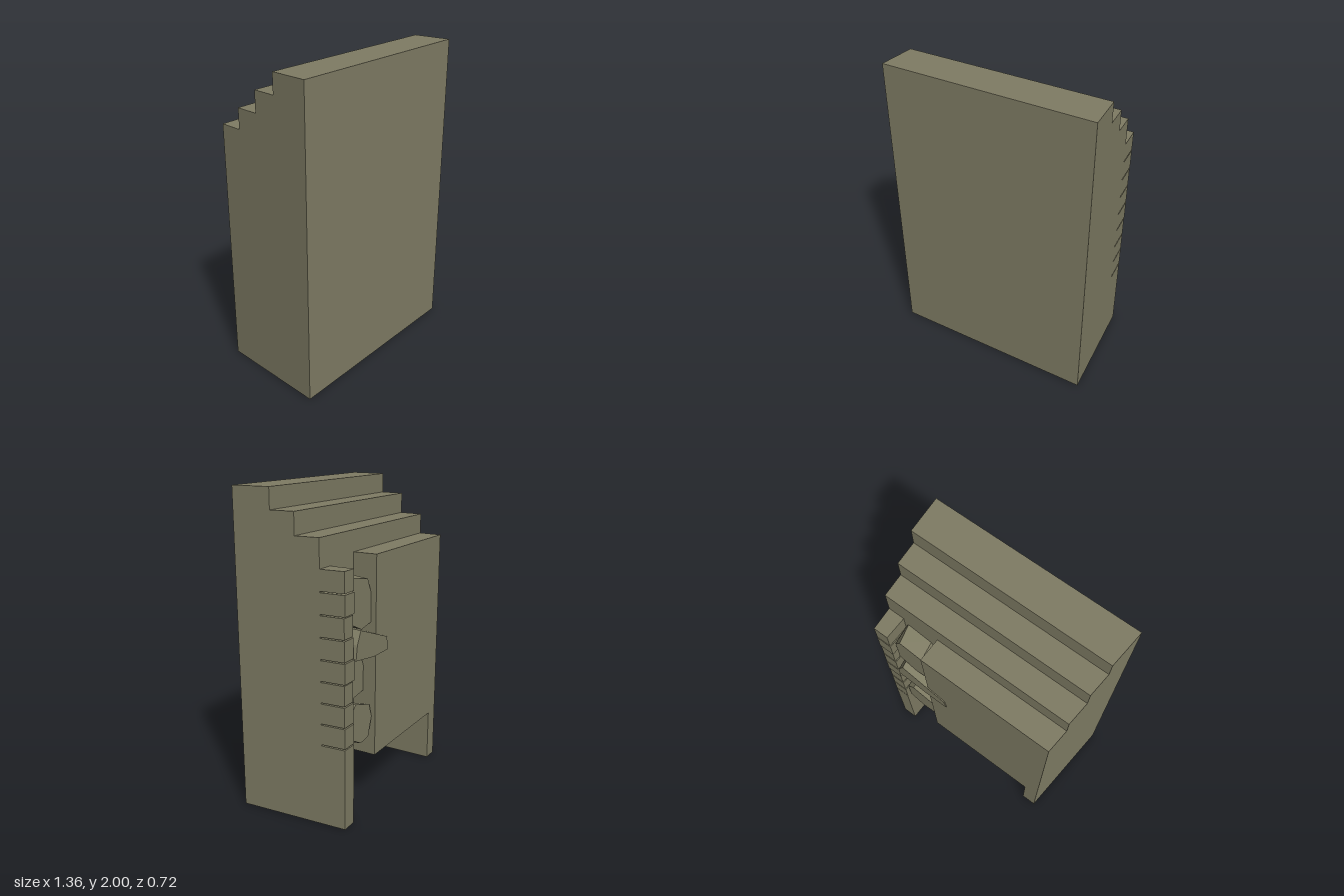
import * as THREE from 'three';
import { ConvexGeometry } from 'three/addons/geometries/ConvexGeometry.js';

const FRONT = 0.355, BACK = -0.355;
// Half width of the tapered plan at depth z
const halfWidth = z => 0.6525 + 0.0775 * z;

export function createModel() {
  const group = new THREE.Group();
  const stone = new THREE.MeshStandardMaterial({ color: 0x7f7c64 });
  stone.name = 'olive grey stone';

  function add(name, geometry) {
    const mesh = new THREE.Mesh(geometry, stone);
    mesh.name = name;
    group.add(mesh);
    return mesh;
  }

  // Box between limits; 'L' and 'R' follow the tapered left and right sides
  function block(name, x0, x1, y0, y1, z0, z1) {
    const g = new THREE.BoxGeometry(1, 1, 1).toNonIndexed();
    const p = g.attributes.position;
    for (let i = 0; i < p.count; i++) {
      const z = p.getZ(i) > 0 ? z1 : z0;
      const side = p.getX(i) > 0 ? x1 : x0;
      const x = side === 'L' ? halfWidth(z) : side === 'R' ? -halfWidth(z) : side;
      p.setXYZ(i, x, p.getY(i) > 0 ? y1 : y0, z);
    }
    g.computeVertexNormals();
    return add(name, g);
  }

  // Stepped body: side profile (z, y) extruded across and tapered
  const profile = [
    [FRONT, 0], [FRONT, 2], [0.11, 2], [0.11, 1.873], [-0.045, 1.873],
    [-0.045, 1.74], [-0.2, 1.74], [-0.2, 0.345], [0.265, 0.345], [0.265, 0],
  ];
  const shape = new THREE.Shape(profile.map(([z, y]) => new THREE.Vector2(z, y)));
  const body = new THREE.ExtrudeGeometry(shape, { depth: 2, bevelEnabled: false });
  body.translate(0, 0, -1).rotateY(-Math.PI / 2);
  const p = body.attributes.position;
  for (let i = 0; i < p.count; i++) p.setX(i, p.getX(i) * halfWidth(p.getZ(i)));
  body.computeVertexNormals();
  add('steppedBody', body);

  // Back panel, side legs around the low opening, and the pillar base
  block('backPanel', 'R', 0.27, 0.345, 1.61, BACK, -0.2);
  block('rightLeg', 'R', -0.525, 0, 0.345, BACK, 0.265);
  block('leftLeg', 0.525, 'L', 0, 0.345, BACK, 0.265);
  block('pillarBase', 0.525, 'L', 0.345, 0.515, BACK, -0.2);

  // Stacked corner stones with narrow joints
  for (let i = 0; i < 8; i++) {
    const y = 0.523 + i * 0.1315;
    const inset = 0.004 * (i % 3);
    block('cornerStone', 0.522 + inset, 'L', y, y + 0.124, BACK + inset / 2, -0.195);
  }

  // Rubble in the broken gap: back outline and a larger seat against the wall
  const rubble = [
    { outline: [[0.51, 1.24], [0.51, 1.44], [0.47, 1.5], [0.31, 1.47], [0.27, 1.38], [0.27, 1.2], [0.38, 1.18]], z: -0.32 },
    { outline: [[0.515, 1.03], [0.5, 1.12], [0.46, 1.2], [0.14, 1.085], [0.13, 1.0], [0.3, 1.0]], z: -0.362 },
    { outline: [[0.5, 0.8], [0.5, 0.97], [0.3, 0.99], [0.26, 0.9], [0.27, 0.76], [0.42, 0.74]], z: -0.27 },
    { outline: [[0.51, 0.53], [0.51, 0.7], [0.46, 0.74], [0.3, 0.69], [0.27, 0.6], [0.31, 0.48], [0.4, 0.47]], z: -0.33 },
  ];
  for (const { outline, z } of rubble) {
    const points = [];
    for (const [x, y] of outline) {
      points.push(new THREE.Vector3(x, y, z));
      points.push(new THREE.Vector3(Math.min(0.525, x * 1.06), y + (y > 0.9 ? 0.02 : -0.01), -0.19));
    }
    add('rubbleStone', new ConvexGeometry(points));
  }

  return group;
}
